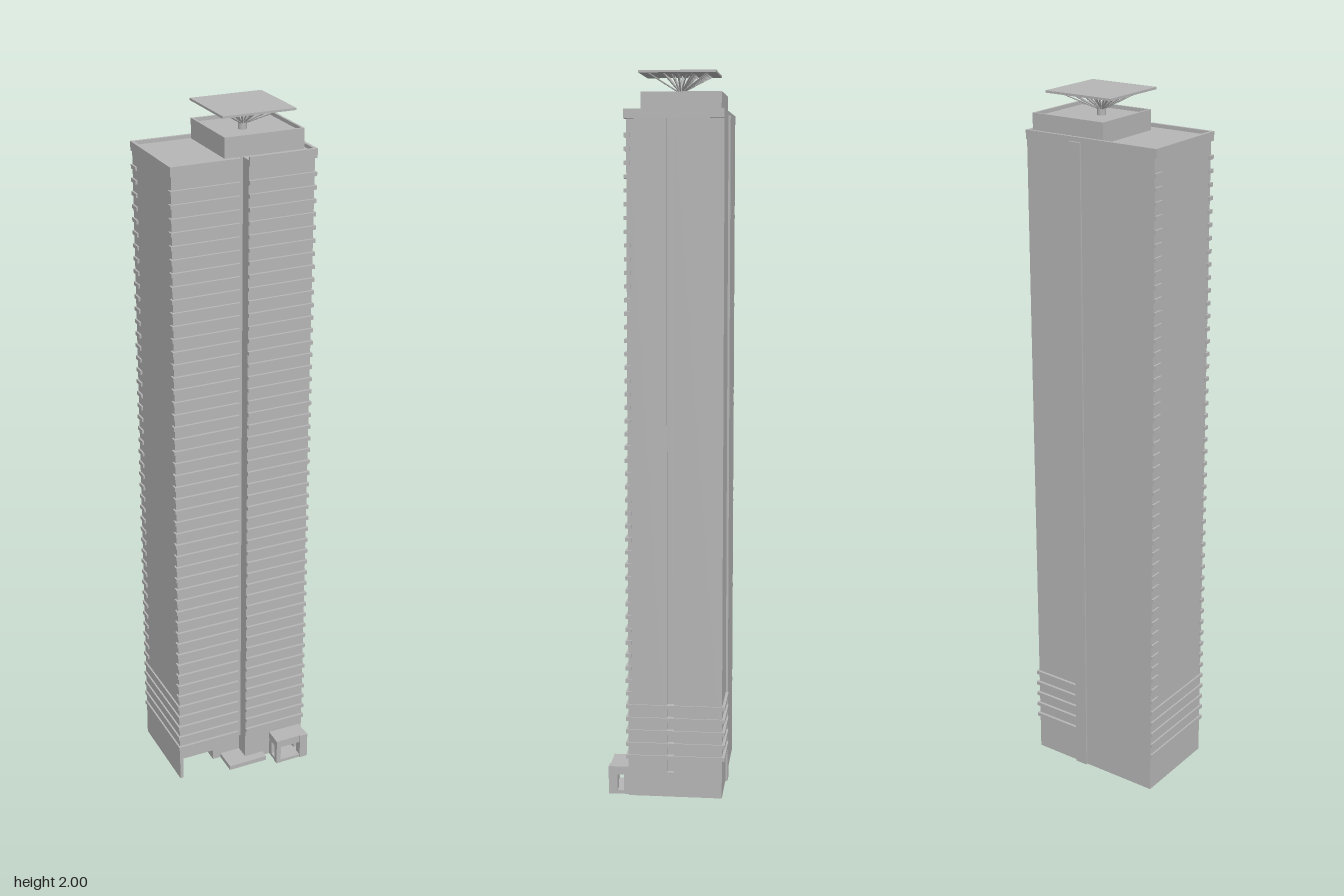
import * as THREE from 'three';

export function createModel() {
  const model = new THREE.Group();
  model.name = 'tower';
  const concrete = new THREE.MeshStandardMaterial({ color: 0xb6b6b6 });
  concrete.name = 'concrete grey';

  const add = (name, geometry, parent = model) => {
    const mesh = new THREE.Mesh(geometry, concrete);
    mesh.name = name;
    parent.add(mesh);
    return mesh;
  };
  // Box given by its limits on each axis
  const box = (name, x0, x1, y0, y1, z0, z1, parent = model) => {
    const mesh = add(name, new THREE.BoxGeometry(x1 - x0, y1 - y0, z1 - z0), parent);
    mesh.position.set((x0 + x1) / 2, (y0 + y1) / 2, (z0 + z1) / 2);
    return mesh;
  };
  // Floor plan of [x, z] points raised from y0 to y1
  const raise = (name, plan, y0, y1) => {
    const shape = new THREE.Shape(plan.map(([x, z]) => new THREE.Vector2(x, -z)));
    const geometry = new THREE.ExtrudeGeometry(shape, { depth: y1 - y0, bevelEnabled: false });
    geometry.rotateX(-Math.PI / 2);
    add(name, geometry).position.y = y0;
  };
  const group = (name) => {
    const g = new THREE.Group();
    g.name = name;
    model.add(g);
    return g;
  };
  // Low rectangular wall ring
  const parapet = (name, x0, x1, y0, y1, z0, z1, t) => {
    const g = group(name);
    box('backWall', x0, x1, y0, y1, z0, z0 + t, g);
    box('frontWall', x0, x1, y0, y1, z1 - t, z1, g);
    box('rightWall', x0, x0 + t, y0, y1, z0 + t, z1 - t, g);
    box('leftWall', x1 - t, x1, y0, y1, z0 + t, z1 - t, g);
  };

  const W = 0.203, BACK = -0.157, FRONT = 0.105;
  const gx0 = -0.013, gx1 = 0.013; // front groove

  // Main shaft with the front groove and the narrow side groove
  raise('shaft', [
    [-W, BACK], [W, BACK], [W, -0.023], [0.191, -0.023], [0.191, -0.003], [W, -0.003],
    [W, FRONT], [gx1, FRONT], [gx1, 0.07], [gx0, 0.07], [gx0, FRONT], [-W, FRONT],
  ], 0.07, 1.88);

  // Ground floor, with an open undercroft at the front
  raise('groundFloor', [
    [-W, BACK], [W, BACK], [W, FRONT], [gx1, FRONT], [gx1, 0.06], [-0.075, 0.06],
    [-0.075, -0.06], [-0.193, -0.06], [-0.193, FRONT], [-W, FRONT],
  ], 0, 0.07);

  // Roof deck and raised rim; the rim is split by the groove
  raise('roofDeck', [
    [-W, BACK], [W, BACK], [W, FRONT], [gx1, FRONT], [gx1, 0.07], [gx0, 0.07], [gx0, FRONT], [-W, FRONT],
  ], 1.88, 1.887);
  const rim = group('roofRim');
  box('backRim', -0.208, 0.207, 1.872, 1.897, BACK, -0.149, rim);
  box('rightRim', -0.208, -0.199, 1.872, 1.897, -0.149, 0.104, rim);
  box('leftRim', 0.198, 0.207, 1.872, 1.897, -0.149, 0.104, rim);
  box('frontRimRight', -0.208, gx0, 1.872, 1.897, 0.104, 0.112, rim);
  box('frontRimLeft', gx1, 0.207, 1.872, 1.897, 0.104, 0.112, rim);

  // Floor slabs across the front, with short returns at the rear corner
  const slabs = group('floorSlabs');
  const pitch = 0.0365, thick = 0.011;
  for (let i = 0; i < 48; i++) {
    const y = 0.108 + i * pitch;
    box('slabRight', -0.208, gx0, y, y + thick, 0.095, 0.112, slabs);
    box('slabLeft', gx1, 0.207, y, y + thick, 0.095, 0.112, slabs);
    box('cornerReturn', -0.208, -0.19, y, y + thick, BACK, -0.125, slabs);
    // The lowest floors carry the slabs round the sides and the rear corner
    if (i < 5) {
      box('sideSlabLeft', 0.19, 0.207, y, y + thick, -0.165, 0.1, slabs);
      box('sideSlabRight', -0.208, -0.19, y, y + thick, -0.125, 0.1, slabs);
      box('rearSlab', 0.063, 0.2, y, y + thick, -0.165, -0.15, slabs);
    }
  }

  // Vertical strip up the back
  box('rearStrip', 0.026, 0.063, 0, 1.885, -0.163, -0.15);

  // Rooftop plant room with its own rim
  box('plantRoom', -0.038, 0.19, 1.885, 1.932, -0.148, 0.068);
  parapet('plantRoomRim', -0.038, 0.19, 1.932, 1.942, -0.148, 0.068, 0.006);

  // Square canopy on fanned struts
  const canopy = group('roofCanopy');
  const cx = 0.056, cz = -0.026;
  box('canopyPlate', cx - 0.104, cx + 0.104, 1.994, 2, cz - 0.104, cz + 0.104, canopy);
  const stem = add('canopyStem', new THREE.CylinderGeometry(0.012, 0.012, 0.024, 10), canopy);
  stem.position.set(cx, 1.943, cz);
  const strut = (dx, dz) => {
    const from = new THREE.Vector3(cx + dx * 0.1, 1.95, cz + dz * 0.1);
    const to = new THREE.Vector3(cx + dx, 1.996, cz + dz);
    const dir = to.clone().sub(from);
    const mesh = add('canopyStrut', new THREE.CylinderGeometry(0.002, 0.002, dir.length(), 6), canopy);
    mesh.position.copy(from).add(to).multiplyScalar(0.5);
    mesh.quaternion.setFromUnitVectors(new THREE.Vector3(0, 1, 0), dir.normalize());
  };
  for (const r of [0.042, 0.082]) {
    for (let i = -2; i < 2; i++) {
      const d = (i / 2) * r;
      strut(d, -r);
      strut(r, d);
      strut(-d, r);
      strut(-r, -d);
    }
  }

  // Entrance platform in front of the groove
  box('entranceStep', -0.05, 0.072, 0, 0.014, 0.06, 0.131);

  // Open entrance porch: floor, roof and posts
  const porch = group('entrancePorch');
  box('porchFloor', 0.095, 0.195, 0, 0.01, 0.1, 0.16, porch);
  box('porchRoof', 0.094, 0.195, 0.056, 0.08, 0.1, 0.16, porch);
  box('porchPostRight', 0.093, 0.107, 0, 0.08, 0.145, 0.161, porch);
  box('porchPostLeft', 0.171, 0.196, 0, 0.08, 0.138, 0.163, porch);
  box('porchJambRight', 0.095, 0.107, 0.01, 0.056, 0.1, 0.12, porch);
  box('porchJambLeft', 0.171, 0.195, 0.01, 0.056, 0.1, 0.12, porch);

  return model;
}
